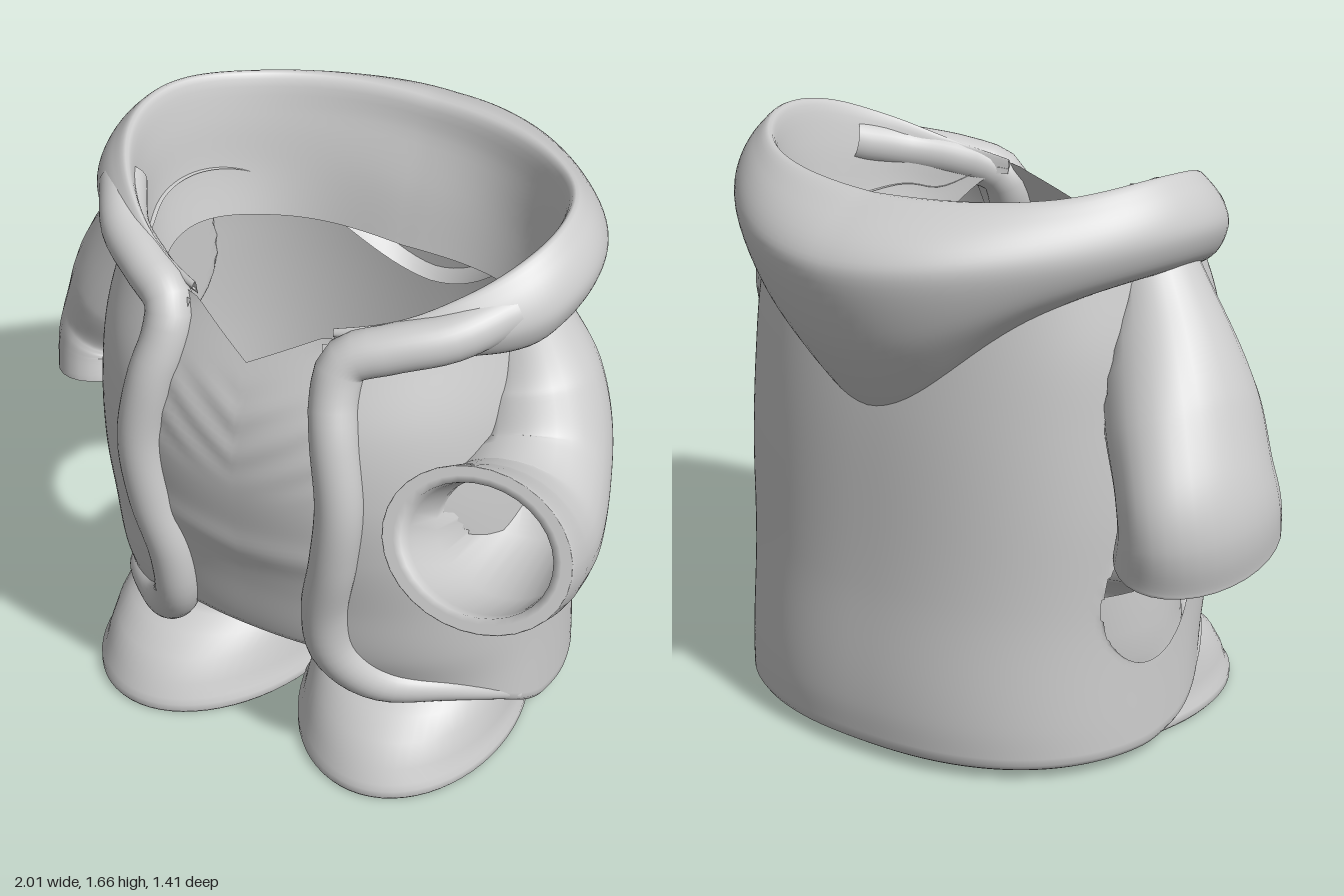
import * as THREE from 'three';

const V = (x, y, z) => new THREE.Vector3(x, y, z);
const { lerp, smoothstep } = THREE.MathUtils;
const mat = new THREE.MeshStandardMaterial({ color: 0xcccccc, side: THREE.DoubleSide });

// Smooth lookup through [position, value] pairs
function table(pairs) {
  const it = new THREE.CubicInterpolant(pairs.map(p => p[0]), pairs.map(p => p[1]), 1, [0]);
  return t => it.evaluate(t)[0];
}

// Surface from rows x cols points; closed wraps the columns, drop(p) cuts holes
function loft(name, rows, cols, fn, closed = false, drop = null) {
  const n = closed ? cols : cols + 1, pts = [], idx = [];
  for (let i = 0; i <= rows; i++) for (let j = 0; j < n; j++) pts.push(fn(i, j / cols));
  for (let i = 0; i < rows; i++) for (let j = 0; j < cols; j++) {
    const a = i * n + j, b = i * n + (j + 1) % n, c = a + n, d = b + n;
    if (drop && [a, b, c, d].every(k => drop(pts[k]))) continue;
    idx.push(a, b, d, a, d, c);
  }
  const geo = new THREE.BufferGeometry().setFromPoints(pts);
  geo.setIndex(idx);
  geo.computeVertexNormals();
  const mesh = new THREE.Mesh(geo, mat);
  mesh.name = name;
  return mesh;
}

// Sweep along a curve; rings = [t, scale], stretch widens the section, adjust moves each point
function sweep(name, points, radius, rings, stretch = () => [1, 1, 1], adjust = p => p) {
  const curve = new THREE.CatmullRomCurve3(points), N = 60;
  const frames = curve.computeFrenetFrames(N);
  return loft(name, rings.length - 1, 32, (i, u) => {
    const [t, s] = rings[i], k = Math.round(t * N), a = u * Math.PI * 2, r = radius(t) * s;
    const off = frames.normals[k].clone().multiplyScalar(Math.cos(a) * r)
      .addScaledVector(frames.binormals[k], Math.sin(a) * r);
    return adjust(curve.getPointAt(k / N).add(off.multiply(V(...stretch(t)))));
  }, true);
}
const steps = n => Array.from({ length: n + 1 }, (_, i) => [i / n, 1]);

// Robe body: half width, front depth, back depth, front edge by height
const POW = 2.35;
const sp = v => Math.sign(v) * Math.abs(v) ** (2 / POW);
const width = table([[0.03, 0.67], [0.4, 0.66], [0.75, 0.67], [1, 0.66], [1.2, 0.645], [1.42, 0.6]]);
const front = table([[0.03, 0.4], [0.25, 0.46], [0.4, 0.53], [0.6, 0.57], [0.8, 0.61], [1, 0.625], [1.2, 0.59], [1.42, 0.48]]);
const back = table([[0.03, 0.575], [0.15, 0.58], [0.5, 0.55], [1, 0.52], [1.42, 0.47]]);
const edge = table([[0.03, 0.4], [0.25, 0.38], [0.35, 0.27], [0.45, 0.22], [0.55, 0.21], [0.75, 0.25], [1, 0.28], [1.25, 0.24], [1.42, 0.2]]);
const hem = phi => 0.03 + 0.22 * smoothstep(-Math.cos(phi), -0.2, 0.9);
const angleOf = (x, y) => Math.asin((x / width(y)) ** (POW / 2));

// phi is 0 at the back and PI at the front
function bodyPoint(phi, y, s = 1) {
  const c = -Math.cos(phi);
  return V(width(y) * sp(Math.sin(phi)) * s, y, (c > 0 ? front(y) : back(y)) * sp(c) * s);
}

// Round gap in the robe under the right cuff
const gap = p => (p.x > -0.4 ? 9 : Math.hypot((p.y - 0.49) / 0.2, (p.z + 0.1) / 0.18));

function robe() {
  const tuck = [[0.74, 0.1], [0.82, 0.04], [0.9, 0.005], [0.96, -0.005], [0.985, 0.005]], R = 70;
  return loft('robe', R + tuck.length, 160, (i, u) => {
    const v = Math.max(0, i - tuck.length) / R;
    const phi = (u * 2 - 1) * (Math.PI - angleOf(edge(lerp(0.25, 1.42, v)), lerp(0.25, 1.42, v)));
    const y0 = hem(phi);
    if (i < tuck.length) return bodyPoint(phi, y0, tuck[i][0]).setY(y0 + tuck[i][1]);
    const p = bodyPoint(phi, lerp(y0 + 0.02, 1.42, v)), d = gap(p);
    if (d < 1 && d > 0.6) {
      p.y = 0.49 + (p.y - 0.49) / d;
      p.z = -0.1 + (p.z + 0.1) / d;
    }
    return p;
  }, false, p => gap(p) < 1.001);
}

// Rolled front edge: out of the collar, down the opening and on along the hem
function lapel(side) {
  const pts = [V(0.6, 1.5, 0.18), V(0.5, 1.46, 0.32), V(0.37, 1.43, 0.41), V(0.27, 1.39, 0.465)];
  for (const y of [1.3, 1.2, 1, 0.8, 0.6, 0.45, 0.35, 0.29]) {
    const x = edge(y) + 0.035;
    pts.push(bodyPoint(Math.PI - angleOf(x, y), y, 0.985));
  }
  for (const a of [0.85, 1.1, 1.35]) pts.push(bodyPoint(Math.PI - a, hem(Math.PI - a) + 0.03, 0.97));
  pts.forEach(p => { p.x *= side; });
  return sweep(side > 0 ? 'leftLapel' : 'rightLapel', pts,
    t => 0.066 - 0.045 * smoothstep(t, 0.72, 1), steps(60));
}

// Shirt front with a V neck and soft folds
function shirt() {
  return loft('shirtFront', 50, 32, (i, u) => {
    const x = (u * 2 - 1) * 0.34, ax = Math.abs(x);
    const y = lerp(0.405, 1.32 + Math.min(ax, 0.2) * 0.55, Math.max(0, i - 1) / 49);
    const p = bodyPoint(Math.PI - angleOf(ax, y), y, 0.965);
    const fold = smoothstep(y, 0.95, 1.1) * (1 - smoothstep(y, 1.2, 1.3));
    const z = p.z + 0.003 * fold * Math.sin((y - ax * 0.7) * 55)
      + 0.008 * Math.exp(-(((y - 0.74 - ax * 0.1) / 0.05) ** 2));
    return V(x, y, i === 0 ? z - 0.16 : z);
  });
}

// Collar roll: [outward, y offset] at the sides, and the hood bag it grows into at the back
const rollSide = [[-0.08, -0.42], [-0.05, -0.28], [-0.03, -0.12], [0, 0], [0.05, -0.03], [0.09, -0.09], [0.1, -0.15], [0.07, -0.22], [0.01, -0.26], [-0.06, -0.27]];
const rollBack = [[-0.16, -0.4], [-0.11, -0.25], [-0.04, -0.1], [0, 0], [0.12, -0.04], [0.21, -0.11], [0.23, -0.19], [0.18, -0.36], [0.1, -0.5], [0.01, -0.62]];
function spline(list) {
  const c = new THREE.SplineCurve(list.map(p => new THREE.Vector2(...p)));
  return t => c.getPoint(t);
}
const crestY = table([[0, 1.605], [0.8, 1.625], [1.4, 1.655], [1.8, 1.63], [2.2, 1.56], [2.5, 1.495], [2.85, 1.44]]);
function hood() {
  const side = spline(rollSide), rear = spline(rollBack);
  return loft('hoodAndCollar', 45, 120, (i, u) => {
    const phi = (u * 2 - 1) * 2.8, c = Math.cos(phi), s = Math.sin(phi);
    const k = Math.max(0, c) ** 5.5;
    const thin = 1 - 0.4 * smoothstep(Math.abs(phi), 1.8, 2.4) - 0.5 * smoothstep(Math.abs(phi), 2.35, 2.8);
    const o = side(i / 45).multiplyScalar(thin).lerp(rear(i / 45), k);
    const rx = 0.63 + o.x, rz = (c > 0 ? 0.48 : 0.45) + o.x;
    return V(rx * s, crestY(Math.abs(phi)) + o.y, -rz * c);
  });
}

// Hollow sleeve with a flat cuff band and an inner wall, kept outside the robe
function sleeve(name, points, radii, stretch) {
  const rings = [...steps(60), [1, 0.99], [1, 0.88], [1, 0.8], [0.95, 0.79], [0.8, 0.78], [0.6, 0.77], [0.3, 0.76]];
  return sweep(name, points, table(radii), rings, stretch, p => {
    if (p.z < 0.3) p.x = Math.sign(p.x) * Math.max(Math.abs(p.x), 0.59);
    return p;
  });
}

// Foot, leg and sole: [y, centre x, centre z, half width, half length]
const footRows = [
  [0, 0.31, 0.13, 0, 0], [0, 0.31, 0.13, 0.32, 0.455], [0.008, 0.31, 0.13, 0.327, 0.46],
  [0.03, 0.31, 0.13, 0.327, 0.46], [0.045, 0.31, 0.13, 0.315, 0.45], [0.09, 0.31, 0.125, 0.308, 0.435],
  [0.15, 0.31, 0.11, 0.3, 0.405], [0.2, 0.305, 0.08, 0.295, 0.37], [0.235, 0.3, 0.05, 0.295, 0.335],
  [0.26, 0.295, 0.03, 0.3, 0.31], [0.34, 0.29, 0.02, 0.305, 0.31], [0.46, 0.285, 0.02, 0.305, 0.32]];
function foot(side) {
  return loft(side > 0 ? 'leftFoot' : 'rightFoot', footRows.length - 1, 64, (i, u) => {
    const [y, cx, cz, rx, rz] = footRows[i], a = u * Math.PI * 2;
    return V(side * (cx + rx * Math.cos(a) + 0.1 * rz * Math.sin(a)), y, cz + rz * Math.sin(a));
  }, true);
}

export function createModel() {
  const model = new THREE.Group();
  model.name = 'hoodedRobe';
  model.add(robe(), shirt(), hood());
  for (const side of [1, -1]) model.add(lapel(side), foot(side));
  // Left arm bends forward, right arm hangs down
  model.add(sleeve('leftSleeve',
    [V(0.56, 1.38, 0.03), V(0.61, 1.2, 0.05), V(0.67, 1.03, 0.14), V(0.72, 0.955, 0.33), V(0.73, 0.985, 0.47), V(0.735, 1.055, 0.605)],
    [[0, 0.13], [0.2, 0.185], [0.5, 0.205], [0.75, 0.205], [1, 0.213]],
    t => [1 + 0.25 * smoothstep(t, 0.4, 1), 1, 1]));
  model.add(sleeve('rightSleeve',
    [V(-0.56, 1.38, 0), V(-0.63, 1.22, -0.04), V(-0.735, 1.02, -0.1), V(-0.81, 0.86, -0.15), V(-0.825, 0.78, -0.15), V(-0.81, 0.69, -0.13)],
    [[0, 0.13], [0.25, 0.175], [0.5, 0.19], [0.75, 0.18], [1, 0.19]],
    t => [1, 1, 1 + 0.55 * smoothstep(t, 0.1, 0.9)]));
  return model;
}
